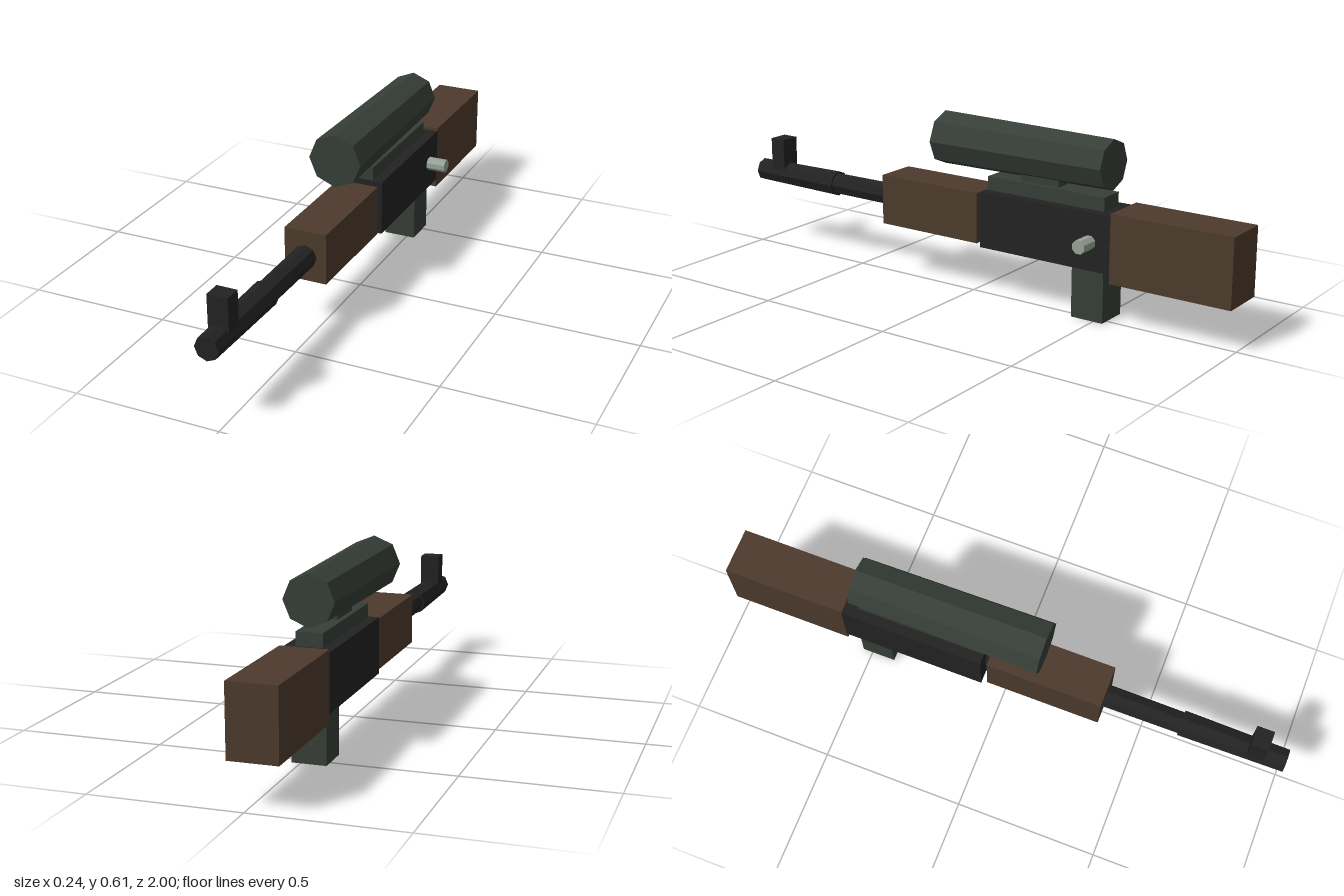
import * as THREE from 'three';

const mat = (name, color) => {
  const m = new THREE.MeshStandardMaterial({ color });
  m.name = name;
  return m;
};

export function createModel() {
  const group = new THREE.Group();
  const wood = mat('brown wood', 0x4c3a2c);
  const black = mat('black steel', 0x222223);
  const green = mat('dark green', 0x363e37);
  const silver = mat('pale steel', 0x94a294);
  const CX = -0.029; // centre line of the body

  const add = (name, geometry, material, x, y, z) => {
    const mesh = new THREE.Mesh(geometry, material);
    mesh.name = name;
    mesh.position.set(x, y, z);
    group.add(mesh);
  };
  // Block centred on the body line, given by its width and y and z ranges
  const block = (name, material, w, y0, y1, z0, z1) =>
    add(name, new THREE.BoxGeometry(w, y1 - y0, z1 - z0), material, CX, (y0 + y1) / 2, (z0 + z1) / 2);
  // Faceted eight-sided tube along z, possibly tapered
  const tube = (name, material, rFront, rBack, y, z0, z1) => {
    const g = new THREE.CylinderGeometry(rFront, rBack, z1 - z0, 8).rotateX(Math.PI / 2).toNonIndexed();
    g.computeVertexNormals();
    add(name, g, material, CX, y, (z0 + z1) / 2);
  };

  // Body
  block('stock', wood, 0.162, 0.15, 0.384, -1, -0.57);
  block('receiver', black, 0.162, 0.18, 0.374, -0.572, -0.065);
  block('handguard', wood, 0.148, 0.188, 0.365, -0.045, 0.362);
  block('magazine', green, 0.116, 0, 0.182, -0.535, -0.416);

  // Barrel
  tube('barrel', black, 0.039, 0.043, 0.275, -0.07, 0.64);
  tube('muzzle', black, 0.041, 0.046, 0.275, 0.63, 1);
  block('frontSight', black, 0.07, 0.275, 0.411, 0.867, 0.927);

  // Sighting scope on its rail
  block('rail', green, 0.089, 0.37, 0.421, -0.525, -0.07);
  block('scopeMount', green, 0.056, 0.415, 0.45, -0.34, -0.193);
  tube('scope', green, 0.093, 0.085, 0.52, -0.53, 0.138);

  // Bolt handle
  const bolt = new THREE.CylinderGeometry(0.024, 0.024, 0.08, 8).rotateZ(-Math.PI / 2).toNonIndexed();
  bolt.rotateX(Math.PI / 8);
  bolt.computeVertexNormals();
  add('boltHandle', bolt, silver, 0.08, 0.276, -0.494);

  return group;
}
